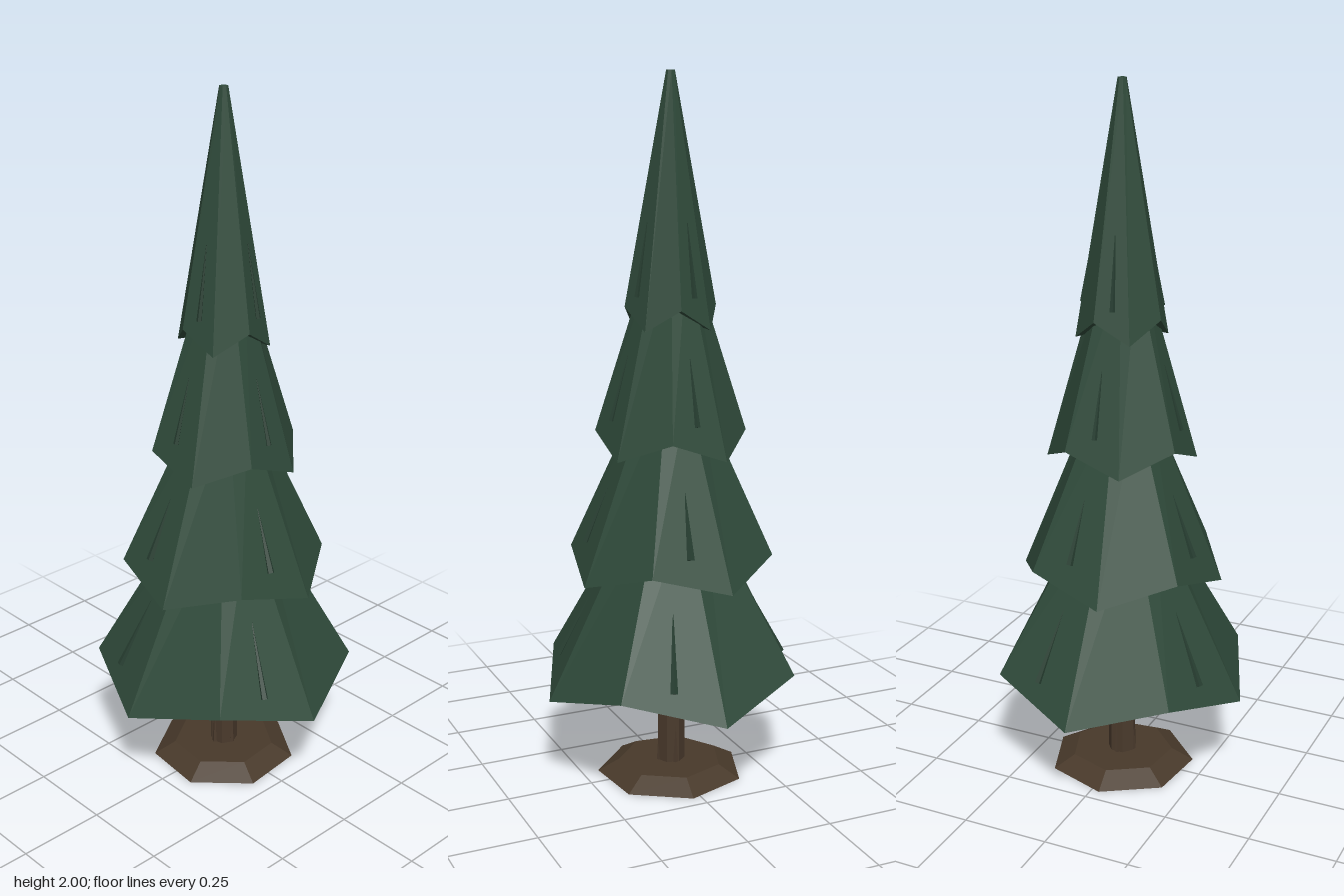
import * as THREE from 'three';

const mat = (name, color) => {
  const m = new THREE.MeshStandardMaterial({ color, flatShading: true });
  m.name = name;
  return m;
};

export function createModel() {
  const needles = mat('needle green', 0x2f4a3a);
  const shade = mat('deep green', 0x263d30);
  const bark = mat('bark brown', 0x4a3a2c);
  const soil = mat('soil brown', 0x48392a);

  const tree = new THREE.Group();
  tree.name = 'pineTree';
  const add = (parent, name, geometry, material) => {
    const mesh = new THREE.Mesh(geometry, material);
    mesh.name = name;
    parent.add(mesh);
    return mesh;
  };
  const polar = (angle, r, y) => new THREE.Vector3(Math.sin(angle) * r, y, Math.cos(angle) * r);

  // Tapered spike between two points, thick at the first
  const spike = (parent, name, from, to, r, material) => {
    const dir = to.clone().sub(from);
    const mesh = add(parent, name, new THREE.CylinderGeometry(0.001, r, dir.length(), 5), material);
    mesh.position.copy(from).add(to).multiplyScalar(0.5);
    mesh.quaternion.setFromUnitVectors(new THREE.Vector3(0, 1, 0), dir.normalize());
  };

  // Ground mound: seven-sided frustum
  const mound = add(tree, 'groundMound',
    new THREE.CylinderGeometry(0.15, 0.213, 0.035, 7, 1, false, Math.PI * 0.75), soil);
  mound.position.y = 0.0175;

  // Trunk, reaching up inside the lowest tier
  const trunk = add(tree, 'trunk', new THREE.CylinderGeometry(0.038, 0.041, 0.5, 7), bark);
  trunk.position.y = 0.27;

  // Small roots against the trunk foot
  for (let k = 0; k < 4; k++) {
    const a = k * Math.PI / 2;
    spike(tree, 'root', polar(a, 0.036, 0.03), polar(a, 0.036, 0.15), 0.008, bark);
  }

  // Foliage tiers: eight-sided skirts whose hem corners alternate low and high
  const tiers = [
    { r: 0.373, low: 0.27, high: 0.34, rTop: 0.1, top: 0.81, s0: 0.36, s1: 0.56 },
    { r: 0.291, low: 0.61, high: 0.67, rTop: 0.08, top: 1.13, s0: 0.71, s1: 0.88 },
    { r: 0.211, low: 0.96, high: 1.02, rTop: 0.06, top: 1.5, s0: 1.06, s1: 1.24 },
    { r: 0.129, low: 1.31, high: 1.37, rTop: 0.012, top: 2.0, s0: 1.4, s1: 1.6 },
  ];
  tiers.forEach((t, i) => {
    const group = new THREE.Group();
    group.name = 'foliageTier' + (i + 1);
    tree.add(group);
    const turn = i * Math.PI / 16;
    const mid = (t.low + t.high) / 2;
    const g = new THREE.CylinderGeometry(t.rTop, t.r, 1, 8, 1, false, turn);
    const p = g.attributes.position;
    for (let v = 0; v < p.count; v++) {
      const x = p.getX(v), z = p.getZ(v);
      if (p.getY(v) > 0) p.setY(v, t.top);
      else if (Math.hypot(x, z) < 0.01) p.setY(v, mid);
      else {
        const corner = Math.round((Math.atan2(x, z) - turn) / (Math.PI / 4));
        p.setY(v, corner % 2 === 0 ? t.low : t.high);
      }
    }
    g.computeVertexNormals();
    add(group, 'skirt', g, needles);

    // Thin bough ridges, one on every second face, sinking into the skirt
    const c = Math.cos(Math.PI / 8);
    const faceR = y => c * (t.r + (t.rTop - t.r) * (y - mid) / (t.top - mid));
    for (let k = 0; k < 4; k++) {
      const a = turn - Math.PI / 8 + k * Math.PI / 2;
      spike(group, 'boughRidge', polar(a, faceR(t.s0) + 0.002, t.s0),
        polar(a, faceR(t.s1) + 0.001, t.s1), i < 2 ? 0.011 : 0.008, shade);
    }
  });
  return tree;
}
